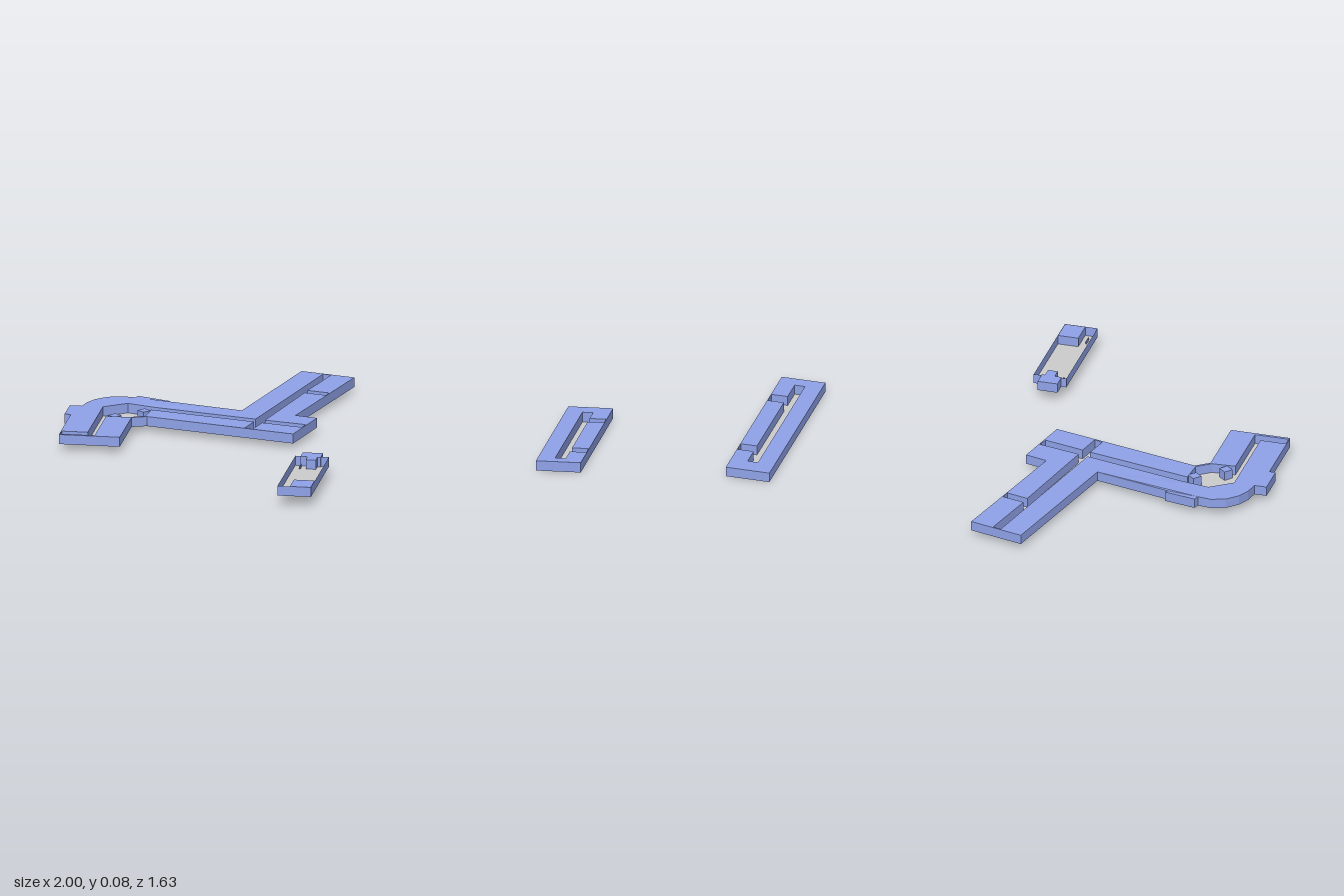
import * as THREE from 'three';

const blue = new THREE.MeshStandardMaterial({ color: 0x8fa2e8, side: THREE.DoubleSide, flatShading: true });
const grey = new THREE.MeshStandardMaterial({ color: 0xcccccc, side: THREE.DoubleSide, flatShading: true });

// Outlines are [x, z] pairs
const toVectors = (pts) => pts.map(([x, z]) => new THREE.Vector2(x, -z));
const rect = (x0, x1, z0, z1) => [[x0, z0], [x1, z0], [x1, z1], [x0, z1]];

function flat(outline, y, holes = []) {
  const shape = new THREE.Shape(toVectors(outline));
  for (const h of holes) shape.holes.push(new THREE.Path(toVectors(h)));
  return new THREE.ShapeGeometry(shape).rotateX(-Math.PI / 2).translate(0, y, 0);
}

// Upright strip following a closed outline
function wall(outline, y0, y1) {
  const pos = [];
  outline.forEach(([ax, az], i) => {
    const [bx, bz] = outline[(i + 1) % outline.length];
    pos.push(ax, y0, az, bx, y1, bz, bx, y0, bz, ax, y0, az, ax, y1, az, bx, y1, bz);
  });
  const g = new THREE.BufferGeometry();
  g.setAttribute('position', new THREE.Float32BufferAttribute(pos, 3));
  g.computeVertexNormals();
  return g;
}

// Raises vertices by a rule of x
function lift(geometry, rule) {
  const p = geometry.attributes.position;
  for (let i = 0; i < p.count; i++) p.setY(i, p.getY(i) + rule(p.getX(i)));
  geometry.computeVertexNormals();
  return geometry;
}

function add(group, name, geometry, material) {
  const mesh = new THREE.Mesh(geometry, material);
  mesh.name = name;
  group.add(mesh);
  return mesh;
}

// Hollow slab, open below, with a sunken corridor
function section(name, outline, corridor, y0, y1, rule = () => 0) {
  const g = new THREE.Group();
  g.name = name;
  const put = (n, geo, mat) => add(g, n, lift(geo, rule), mat);
  put('roof', flat(outline, y1, corridor ? [corridor] : []), blue);
  put('outerWall', wall(outline, y0, y1), blue);
  if (corridor) {
    put('corridorWall', wall([...corridor].reverse(), y0, y1), blue);
    put('corridorFloor', flat(corridor, y0), grey);
  }
  return g;
}

// Small upright box on a floor
function post(group, name, x, z, w, d, y0, y1, turn = 0) {
  const mesh = add(group, name, new THREE.BoxGeometry(w, y1 - y0, d), blue);
  mesh.position.set(x, (y0 + y1) / 2, z);
  mesh.rotation.y = turn;
}

export function createModel() {
  const model = new THREE.Group();
  model.name = 'corridorComplex';

  // Bent wing: curved corner, long arm and slanted arm
  const bentOutline = [
    [-0.768, -0.367], [-0.644, -0.335], [-0.65, -0.322], [-0.356, -0.252],
    [-0.222, -0.817], [-0.013, -0.763], [-0.147, -0.218], [-0.062, -0.196],
    [-0.115, 0.034], [-0.692, -0.105], [-0.745, -0.073], [-0.745, 0.2],
    [-0.976, 0.2], [-0.976, -0.078], [-1, -0.078], [-1, -0.2], [-0.953, -0.2],
    [-0.943, -0.25], [-0.92, -0.295], [-0.88, -0.335], [-0.826, -0.352], [-0.775, -0.345],
  ];
  const bentCorridor = [
    [-0.79, -0.26], [-0.68, -0.235], [-0.286, -0.143], [-0.136, -0.79], [-0.104, -0.78],
    [-0.158, -0.56], [-0.072, -0.54], [-0.08, -0.507], [-0.163, -0.528], [-0.249, -0.135],
    [-0.088, -0.1], [-0.099, -0.063], [-0.254, -0.1], [-0.275, -0.009], [-0.307, -0.02],
    [-0.286, -0.108], [-0.692, -0.2], [-0.698, -0.113], [-0.752, -0.078], [-0.842, -0.073],
    [-0.842, 0.189], [-0.972, 0.189], [-0.972, 0.152], [-0.874, 0.152], [-0.874, -0.2],
  ];
  const ramp = (x) => 0.005 * THREE.MathUtils.clamp((-0.66 - x) / 0.08, 0, 1);
  const bent = section('bentWing', bentOutline, bentCorridor, 0.02, 0.057, ramp);
  for (const [x, z] of [[-0.715, -0.183], [-0.813, -0.1]])
    post(bent, 'roomPillar', x, z, 0.036, 0.036, 0.022, 0.06, -0.7);
  model.add(bent);

  // Straight wing with two side passages
  const straightCorridor = [
    [0.895, -0.5], [0.935, -0.5], [0.935, -0.42], [0.997, -0.42], [0.997, -0.375], [0.935, -0.375],
    [0.935, -0.015], [0.997, -0.015], [0.997, 0.035], [0.935, 0.035], [0.935, 0.13], [0.895, 0.13],
  ];
  const straight = section('straightWing', rect(0.83, 1, -0.57, 0.18), straightCorridor, 0, 0.038);
  for (const z of [-0.4, 0.01]) post(straight, 'passageStep', 0.965, z, 0.03, 0.005, 0, 0.012);
  model.add(straight);

  // Open hall: thin walls around a low floor
  const hall = new THREE.Group();
  hall.name = 'openHall';
  const low = 0.04, high = 0.077;
  const hallOutline = rect(-0.047, 0.08, 0.393, 0.81);
  add(hall, 'hallFloor', flat(hallOutline, low), grey);
  add(hall, 'hallWall', wall(hallOutline, low, high), blue);
  hall.add(section('cornerBlock', rect(0, 0.079, 0.715, 0.809), null, low + 0.001, high));
  hall.add(section('entranceBlock', rect(-0.027, 0.05, 0.343, 0.4), null, low, high));
  hall.add(section('entranceStep', rect(0, 0.038, 0.4, 0.44), null, low + 0.001, high));
  for (const z of [0.43, 0.76]) post(hall, 'hallPost', -0.022, z, 0.004, 0.035, low + 0.001, low + 0.012);
  model.add(hall);

  return model;
}
